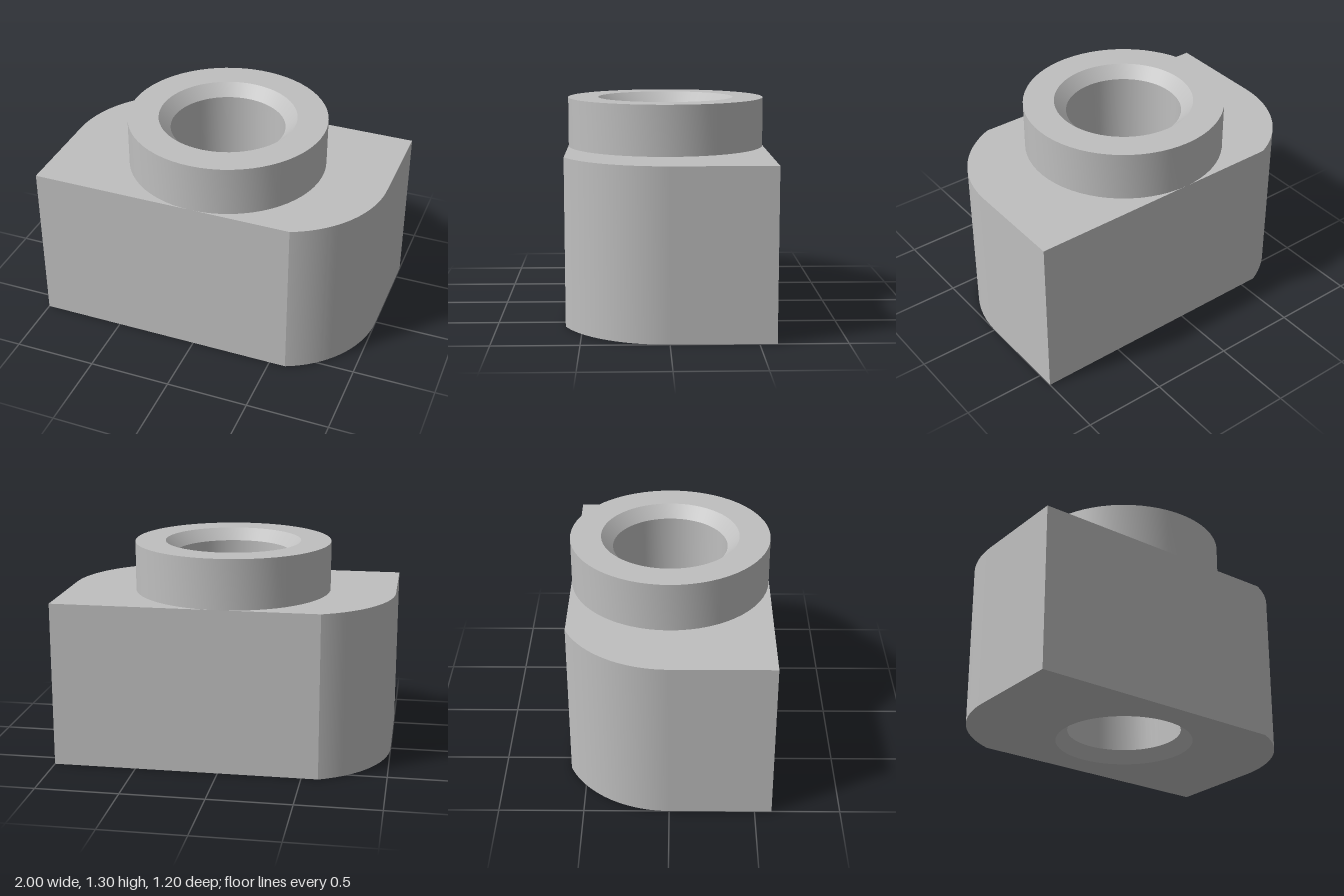
import * as THREE from 'three';
import { toCreasedNormals } from 'three/addons/utils/BufferGeometryUtils.js';

const HALF_W = 1, HALF_D = 0.6, BLOCK_H = 1, TOTAL_H = 1.3;
const BORE_R = 0.345, CHAMFER = 0.07, COLLAR_R = 0.6;

export function createModel() {
  const group = new THREE.Group();
  const grey = new THREE.MeshStandardMaterial({ color: 0xbfbfbf });
  grey.name = 'plain grey';

  const add = (name, geometry) => {
    const mesh = new THREE.Mesh(toCreasedNormals(geometry, 0.3), grey);
    mesh.name = name;
    group.add(mesh);
  };

  // Block: rectangle with two opposite corners rounded by arcs tangent to its ends
  const arcR = 0.65, arcX = HALF_W - arcR;
  const sweep = Math.asin(HALF_D / arcR);
  const outline = new THREE.Shape();
  outline.absarc(arcX, 0, arcR, -sweep, 0, false);
  outline.lineTo(HALF_W, HALF_D);
  outline.absarc(-arcX, 0, arcR, Math.PI - sweep, Math.PI, false);
  outline.lineTo(-HALF_W, -HALF_D);
  outline.closePath();
  const hole = new THREE.Path();
  hole.absarc(0, 0, BORE_R + CHAMFER, 0, Math.PI * 2, true);
  outline.holes.push(hole);
  const block = new THREE.ExtrudeGeometry(outline, {
    depth: BLOCK_H, bevelEnabled: false, curveSegments: 32,
  });
  block.rotateX(-Math.PI / 2);
  add('block', block);

  // Collar and through bore, chamfered at both mouths
  const profile = [
    [COLLAR_R, BLOCK_H],
    [COLLAR_R, TOTAL_H],
    [BORE_R + CHAMFER, TOTAL_H],
    [BORE_R, TOTAL_H - CHAMFER],
    [BORE_R, CHAMFER],
    [BORE_R + CHAMFER, 0],
  ].map(([r, y]) => new THREE.Vector2(r, y));
  add('collarAndBore', new THREE.LatheGeometry(profile, 64));

  return group;
}
